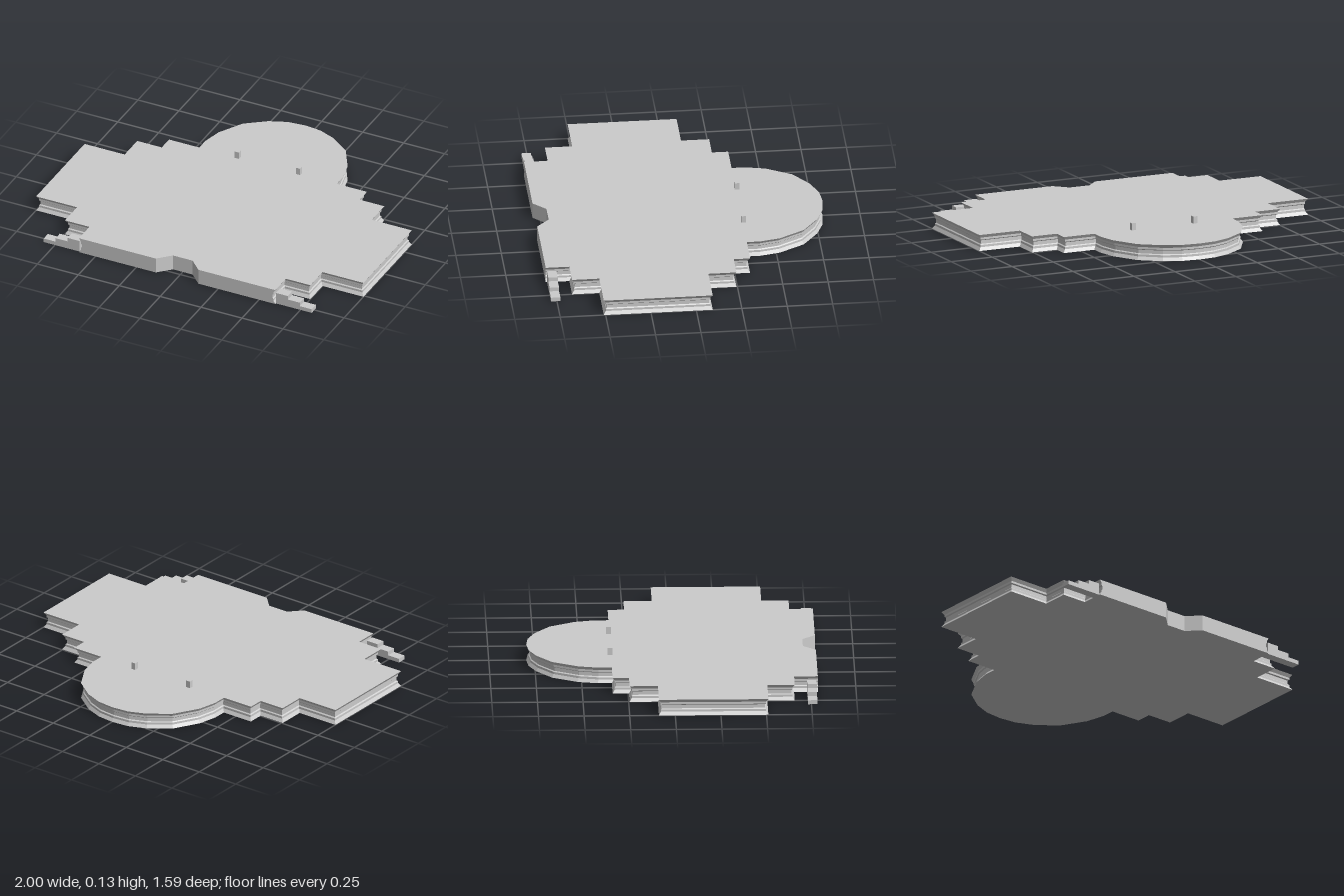
import * as THREE from 'three';

const TOP = 0.09;

export function createModel() {
  const group = new THREE.Group();
  const material = new THREE.MeshStandardMaterial({ color: 0xcccccc, flatShading: true });

  // Plan outline of the +x half as (x, z), running from front to back
  const half = [
    [0.06, 0.72], [0.13, 0.79], [0.6, 0.79], [0.6, 0.66], [0.75, 0.66], [0.75, 0.51],
    [1, 0.51], [1, -0.09], [0.755, -0.09], [0.755, -0.245], [0.605, -0.245],
    [0.605, -0.335], [0.42, -0.335], [0.42, -0.41], [0.395, -0.52], [0.315, -0.66],
    [0.2, -0.745], [0.1, -0.785], [0, -0.795],
  ];
  const mirrored = half.slice(0, -1).reverse().map(([x, z]) => [-x, z]);
  const outline = [...half, ...mirrored].map(([x, z]) => new THREE.Vector2(x, -z));
  const n = outline.length;

  // Inset each moulded edge by d; the front wall and its notch stay plain
  const insetOutline = (d) => {
    const lines = outline.map((a, i) => {
      const b = outline[(i + 1) % n];
      const dir = b.clone().sub(a).normalize();
      const plain = i < 2 || i >= n - 3;
      const inward = new THREE.Vector2(-dir.y, dir.x).multiplyScalar(plain ? 0 : d);
      return { p: a.clone().add(inward), dir };
    });
    return lines.map((line, i) => {
      const prev = lines[(i + n - 1) % n];
      const cross = prev.dir.cross(line.dir);
      if (Math.abs(cross) < 1e-5) return line.p.clone();
      const t = line.p.clone().sub(prev.p).cross(line.dir) / cross;
      return prev.p.clone().addScaledVector(prev.dir, t);
    });
  };

  // Moulding profile as (height, inset)
  const profile = [
    [0, 0], [0.018, 0.012], [0.03, 0.012], [0.035, 0.018],
    [0.055, 0.018], [0.06, 0.012], [0.072, 0.012], [TOP, 0],
  ];
  const rings = profile.map(([y, d]) => insetOutline(d).map((p) => [p.x, y, -p.y]));
  const positions = [];
  const tri = (a, b, c) => positions.push(...a, ...b, ...c);
  for (let r = 0; r < rings.length - 1; r++) {
    for (let i = 0; i < n; i++) {
      const j = (i + 1) % n;
      tri(rings[r][i], rings[r][j], rings[r + 1][j]);
      tri(rings[r][i], rings[r + 1][j], rings[r + 1][i]);
    }
  }
  // Flat top and underside
  const last = rings[rings.length - 1];
  for (const [a, b, c] of THREE.ShapeUtils.triangulateShape(outline, [])) {
    tri(last[a], last[b], last[c]);
    tri(rings[0][a], rings[0][c], rings[0][b]);
  }
  const geometry = new THREE.BufferGeometry();
  geometry.setAttribute('position', new THREE.Float32BufferAttribute(positions, 3));
  geometry.computeVertexNormals();
  const platform = new THREE.Mesh(geometry, material);
  platform.name = 'platform';
  group.add(platform);

  const addBox = (name, w, h, d, x, y, z) => {
    const mesh = new THREE.Mesh(new THREE.BoxGeometry(w, h, d), material);
    mesh.position.set(x, y + h / 2, z);
    mesh.name = name;
    group.add(mesh);
  };

  for (const side of [-1, 1]) {
    const label = side > 0 ? 'left' : 'right';
    // Small peg standing on the platform
    addBox(`${label}Peg`, 0.026, 0.04, 0.026, side * 0.187, TOP, -0.34);
    // Little flight of steps descending outwards
    for (let i = 0; i < 3; i++) {
      addBox(`${label}Step${i + 1}`, 0.073, 0.068 - i * 0.0225, 0.052, side * (0.6365 + i * 0.073), 0, 0.757);
    }
  }
  return group;
}
